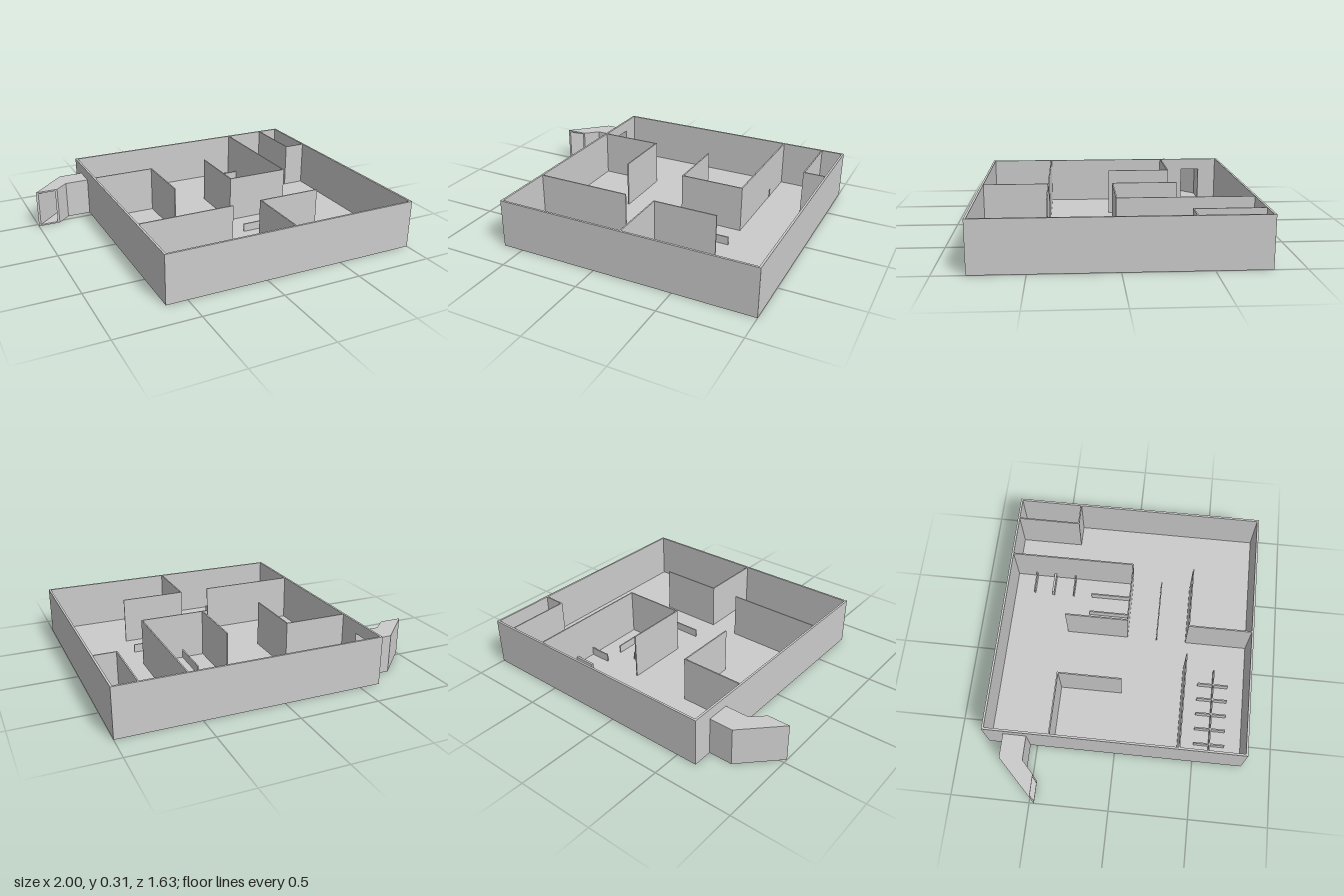
import * as THREE from 'three';

const material = new THREE.MeshStandardMaterial({ color: 0xcccccc, flatShading: true });
const FLOOR = 0.01, FULL = 0.305, LOW = 0.062, THIN = 0.008, SHELL = 0.013;
const X0 = -0.63, X1 = 1, Z = 0.815;

// Box given by its x, y and z ranges
function block(parent, name, x0, x1, y0, y1, z0, z1) {
  const mesh = new THREE.Mesh(new THREE.BoxGeometry(x1 - x0, y1 - y0, z1 - z0), material);
  mesh.position.set((x0 + x1) / 2, (y0 + y1) / 2, (z0 + z1) / 2);
  mesh.name = name;
  parent.add(mesh);
}

// Thin upright wall along x or z, given by its centre line
function wall(parent, name, xa, za, xb, zb, height, t = THIN) {
  const h = t / 2;
  block(parent, name, xa - h, xb + h, FLOOR, height, za - h, zb + h);
}

// Plan outline of [x, z] points raised from y0 to y1
function slab(parent, name, points, y0, y1) {
  const shape = new THREE.Shape(points.map(([x, z]) => new THREE.Vector2(x, z)));
  const geometry = new THREE.ExtrudeGeometry(shape, { depth: y1 - y0, bevelEnabled: false });
  geometry.rotateX(Math.PI / 2).translate(0, y1, 0);
  const mesh = new THREE.Mesh(geometry, material);
  mesh.name = name;
  parent.add(mesh);
}

function group(parent, name) {
  const g = new THREE.Group();
  g.name = name;
  parent.add(g);
  return g;
}

export function createModel() {
  const model = new THREE.Group();
  model.name = 'floorPlanBuilding';

  // Floor and outer walls, with a doorway in the right-hand wall
  const shell = group(model, 'outerShell');
  const doorBack = -0.68, doorFront = -0.555, doorTop = 0.23;
  block(shell, 'floor', X0, X1, 0, FLOOR, -Z, Z);
  block(shell, 'frontWall', X0, X1, FLOOR, FULL, Z - SHELL, Z);
  block(shell, 'backWall', X0, X1, FLOOR, FULL, -Z, -Z + SHELL);
  block(shell, 'leftWall', X1 - SHELL, X1, FLOOR, FULL, -Z + SHELL, Z - SHELL);
  block(shell, 'rightWallBack', X0, X0 + SHELL, FLOOR, FULL, -Z + SHELL, doorBack);
  block(shell, 'rightWallFront', X0, X0 + SHELL, FLOOR, FULL, doorFront, Z - SHELL);
  block(shell, 'doorLintel', X0, X0 + SHELL, doorTop, FULL, doorBack, doorFront);

  // Full-height room walls: [xa, za, xb, zb]
  const rooms = group(model, 'roomWalls');
  [
    [-0.617, -0.4, -0.22, -0.4], [-0.22, -0.4, -0.22, 0],
    [0.18, -0.4, 0.18, 0], [0.18, 0, 0.58, 0], [0.58, -0.802, 0.58, 0],
    [0.85, -0.802, 0.85, -0.4], [0.85, -0.4, 0.987, -0.4],
    [-0.617, 0.4, -0.015, 0.4],
    [0.18, 0.4, 0.58, 0.4], [0.18, 0.4, 0.18, 0.802],
  ].forEach((w) => wall(rooms, 'roomWall', ...w, FULL));

  // Low dividers
  const low = group(model, 'lowDividers');
  wall(low, 'counter', 0.18, 0.2, 0.58, 0.2, LOW);
  for (const x of [0.32, 0.45]) wall(low, 'stallDivider', x, -0.27, x, 0, LOW);
  for (const z of [-0.67, -0.4]) wall(low, 'sideDivider', 0.445, z, 0.58, z, LOW);
  wall(low, 'thickDivider', 0.445, -0.54, 0.58, -0.54, LOW, 0.014);

  // Row of bays on both sides of a low spine
  const bays = group(model, 'bayRow');
  wall(bays, 'baySpine', -0.617, 0.6, -0.022, 0.6, LOW);
  for (let i = 0; i < 5; i++) {
    const x = -0.52 + i * 0.1;
    wall(bays, 'bayDivider', x, 0.503, x, 0.692, LOW);
  }

  // Bent covered passage, open at its far end
  const passage = group(model, 'passage');
  const outer = [[X0, -0.69], [-0.78, -0.69], [-1, -0.47]];
  const inner = [[-0.86, -0.47], [-0.78, -0.545], [X0, -0.545]];
  const outline = [...outer, ...inner];
  slab(passage, 'passageFloor', outline, 0, FLOOR);
  slab(passage, 'passageRoof', outline, doorTop, 0.24);
  slab(passage, 'passageOuterWall',
    [...outer, [-0.986, -0.47], [-0.776, -0.68], [X0, -0.68]], FLOOR, doorTop);
  slab(passage, 'passageInnerWall',
    [...inner, [X0, -0.555], [-0.784, -0.555], [-0.874, -0.47]], FLOOR, doorTop);

  return model;
}
